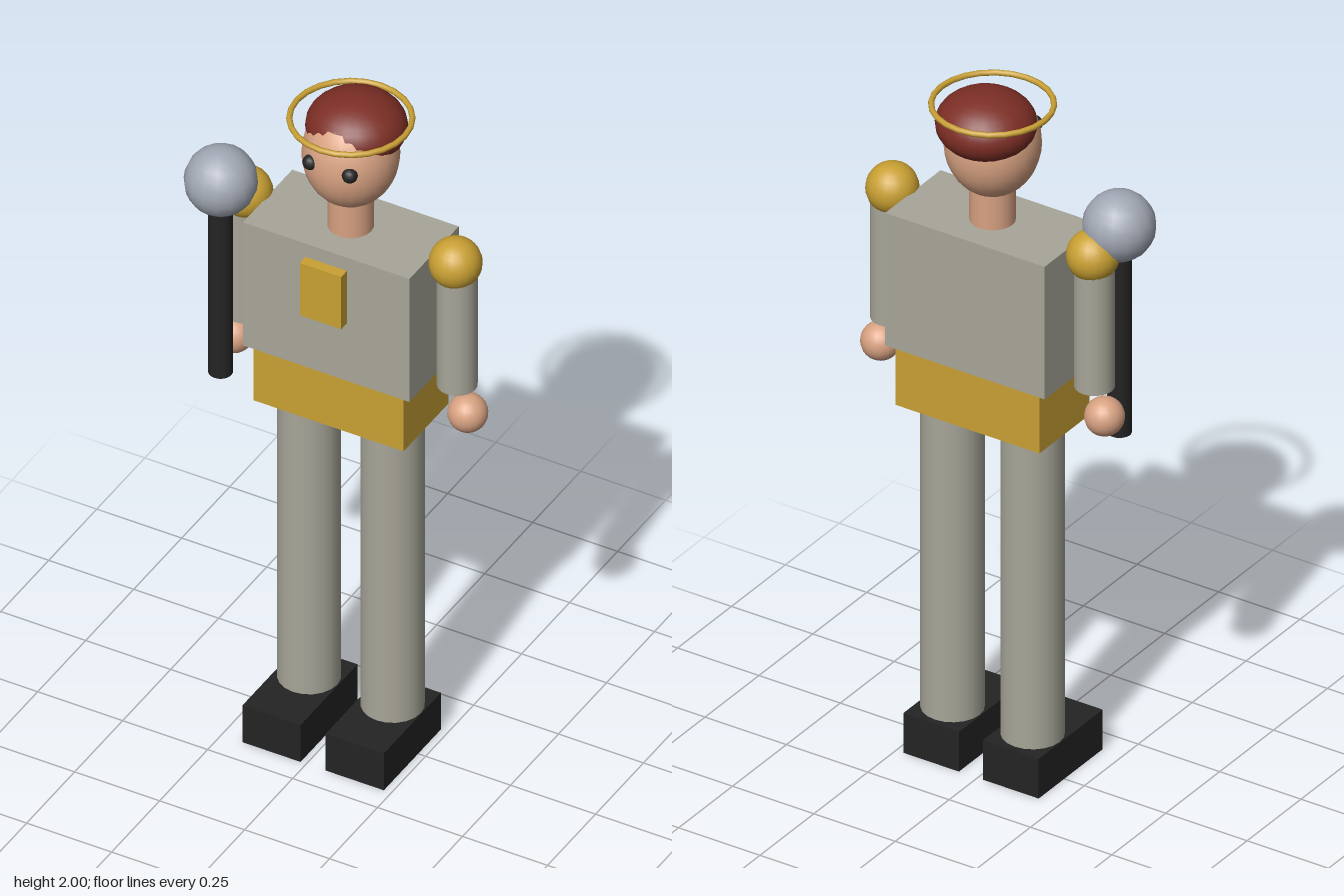
import * as THREE from 'three';

const material = (name, color) => {
  const m = new THREE.MeshStandardMaterial({ color });
  m.name = name;
  return m;
};

export function createModel() {
  const cloth = material('grey cloth', 0xa8a699);
  const gold = material('gold', 0xc9a033);
  const skin = material('skin', 0xd8a282);
  const hairRed = material('red brown hair', 0x7c2e25);
  const black = material('black', 0x242424);
  const steel = material('steel', 0xa2a8b4);

  const model = new THREE.Group();
  model.name = 'figure';
  // The body's own centre line; the held mace shifts it off the origin
  const body = new THREE.Group();
  body.name = 'body';
  body.position.set(0.02, 0, -0.018);
  model.add(body);

  const add = (name, geometry, mat, x, y, z) => {
    const mesh = new THREE.Mesh(geometry, mat);
    mesh.name = name;
    mesh.position.set(x, y, z);
    body.add(mesh);
    return mesh;
  };
  const box = (w, h, d) => new THREE.BoxGeometry(w, h, d);
  const ball = (r, w = 20, h = 14) => new THREE.SphereGeometry(r, w, h);
  const rod = (r, h) => new THREE.CylinderGeometry(r, r, h, 20);

  // Torso, belt and chest badge
  add('torso', box(0.49, 0.395, 0.257), cloth, 0, 1.413, 0);
  add('belt', box(0.442, 0.175, 0.233), gold, 0, 1.128, 0);
  add('chestBadge', box(0.122, 0.168, 0.04), gold, 0, 1.484, 0.138);

  // Head, hair and halo ring
  add('neck', rod(0.06, 0.14), skin, 0, 1.67, 0);
  add('head', ball(0.127, 24, 18), skin, 0, 1.842, 0).scale.y = 1.18;
  add('hair', ball(0.133, 24, 18), hairRed, 0, 1.911, -0.03).scale.set(1, 0.67, 0.98);
  const halo = add('halo', new THREE.TorusGeometry(0.158, 0.008, 8, 24), gold, 0, 1.952, 0);
  halo.rotation.x = Math.PI / 2;

  // Paired parts
  for (const [side, s] of [['left', 1], ['right', -1]]) {
    add(side + 'Eye', ball(0.021, 12, 8), black, s * 0.058, 1.86, 0.108);
    add(side + 'Shoulder', ball(0.07), gold, s * 0.308, 1.603, 0);
    add(side + 'Arm', rod(0.053, 0.385), cloth, s * 0.313, 1.408, 0);
    add(side + 'Hand', ball(0.053), skin, s * 0.344, 1.135, 0);
    add(side + 'Leg', rod(0.083, 0.93), cloth, s * 0.123, 0.58, 0);
    add(side + 'Shoe', box(0.171, 0.118, 0.297), black, s * 0.1225, 0.059, 0.048);
  }

  // Mace in the right hand
  add('maceShaft', rod(0.032, 0.56), black, -0.345, 1.335, 0.068);
  add('maceHead', ball(0.096, 16, 12), steel, -0.344, 1.67, 0.068);

  return model;
}
